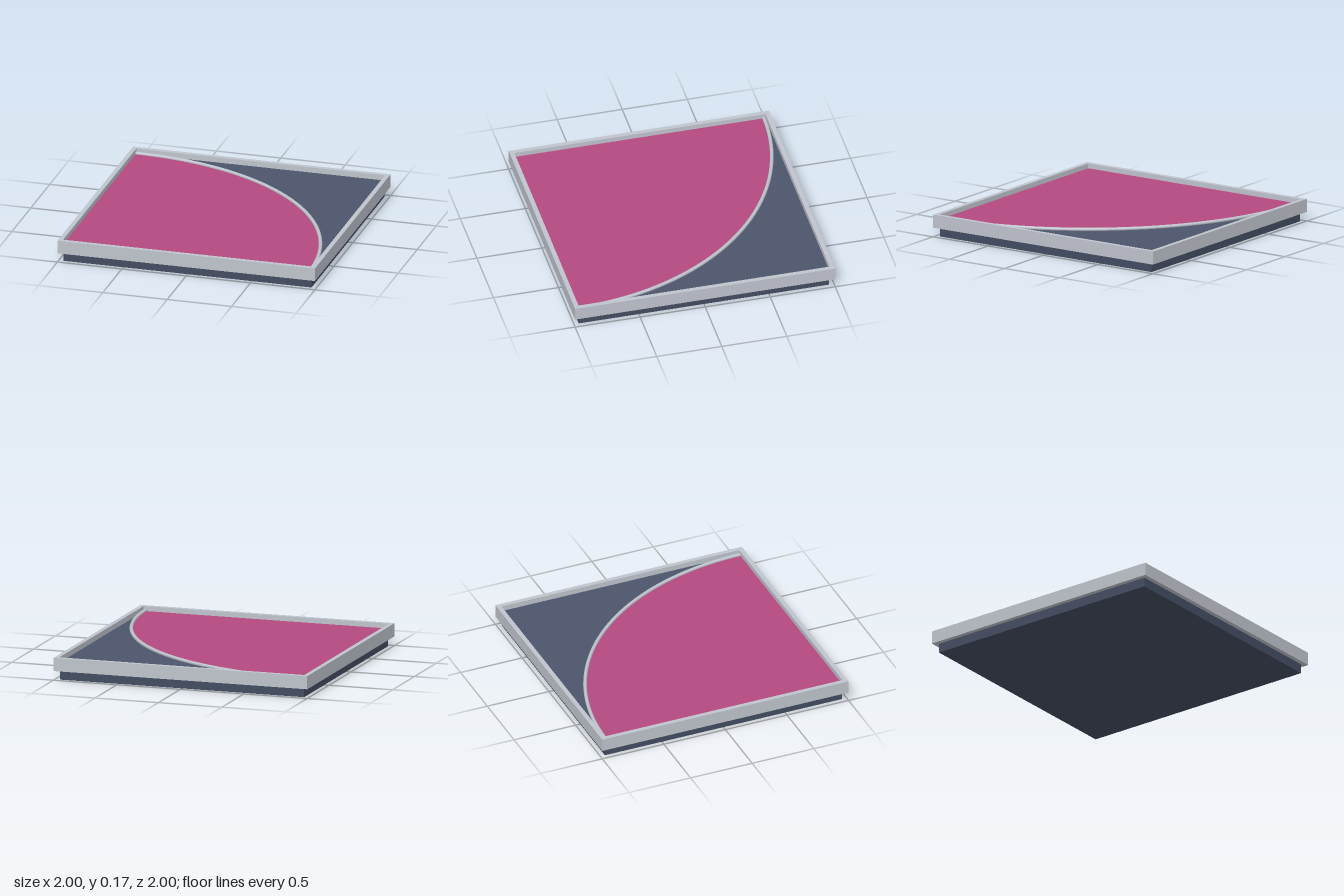
import * as THREE from 'three';

const material = (name, color, side = THREE.FrontSide) => {
  const m = new THREE.MeshStandardMaterial({ color, side });
  m.name = name;
  return m;
};

const OUTER = 1;       // half width of the frame
const INNER = 0.965;   // half width of the tray inside the frame
const FLOOR = 0.13;    // height of the tray floor
const TOP = 0.17;
const FRAME_BOTTOM = 0.07;
const ARC = 1.917;     // radius of the dividing arc

export function createModel() {
  const group = new THREE.Group();
  const silver = material('silver', 0xbfc3cc);
  const slate = material('slate', 0x424c61);
  const paleSlate = material('pale slate', 0x4b556a);
  const magenta = material('magenta', 0xb34980);

  const add = (name, geometry, mat, x = 0, y = 0, z = 0) => {
    const mesh = new THREE.Mesh(geometry, mat);
    mesh.name = name;
    mesh.position.set(x, y, z);
    group.add(mesh);
    return mesh;
  };

  // Base block, with the floor of the tray on top of it
  const baseHeight = FLOOR - 0.008;
  add('base', new THREE.BoxGeometry(1.925, baseHeight, 1.925), slate, 0, baseHeight / 2, 0);
  add('floor', new THREE.BoxGeometry(INNER * 2, 0.007, INNER * 2), paleSlate, 0, FLOOR - 0.0045, 0);

  // Square frame with a square opening
  const square = (Type, h) => new Type([
    new THREE.Vector2(-h, -h), new THREE.Vector2(h, -h),
    new THREE.Vector2(h, h), new THREE.Vector2(-h, h),
  ]);
  const frameShape = square(THREE.Shape, OUTER);
  frameShape.holes.push(square(THREE.Path, INNER));
  const frame = new THREE.ExtrudeGeometry(frameShape, { depth: TOP - FRAME_BOTTOM, bevelEnabled: false });
  frame.rotateX(-Math.PI / 2);
  add('frame', frame, silver, 0, FRAME_BOTTOM, 0);

  // Quarter-circle panel, centred on the front right corner of the tray
  const quarter = new THREE.Shape();
  quarter.moveTo(0, 0);
  quarter.lineTo(ARC, 0);
  quarter.absarc(0, 0, ARC, 0, Math.PI / 2, false);
  quarter.lineTo(0, 0);
  const panel = new THREE.ExtrudeGeometry(quarter, { depth: 0.004, bevelEnabled: false, curveSegments: 64 });
  panel.rotateX(-Math.PI / 2);
  add('quarterPanel', panel, magenta, -INNER, FLOOR - 0.001, INNER);

  // Rounded trim along the arc
  const trim = new THREE.TorusGeometry(ARC, 0.014, 10, 64, Math.PI / 2);
  trim.rotateX(-Math.PI / 2);
  add('arcTrim', trim, silver, -INNER, FLOOR + 0.007, INNER);

  return group;
}
